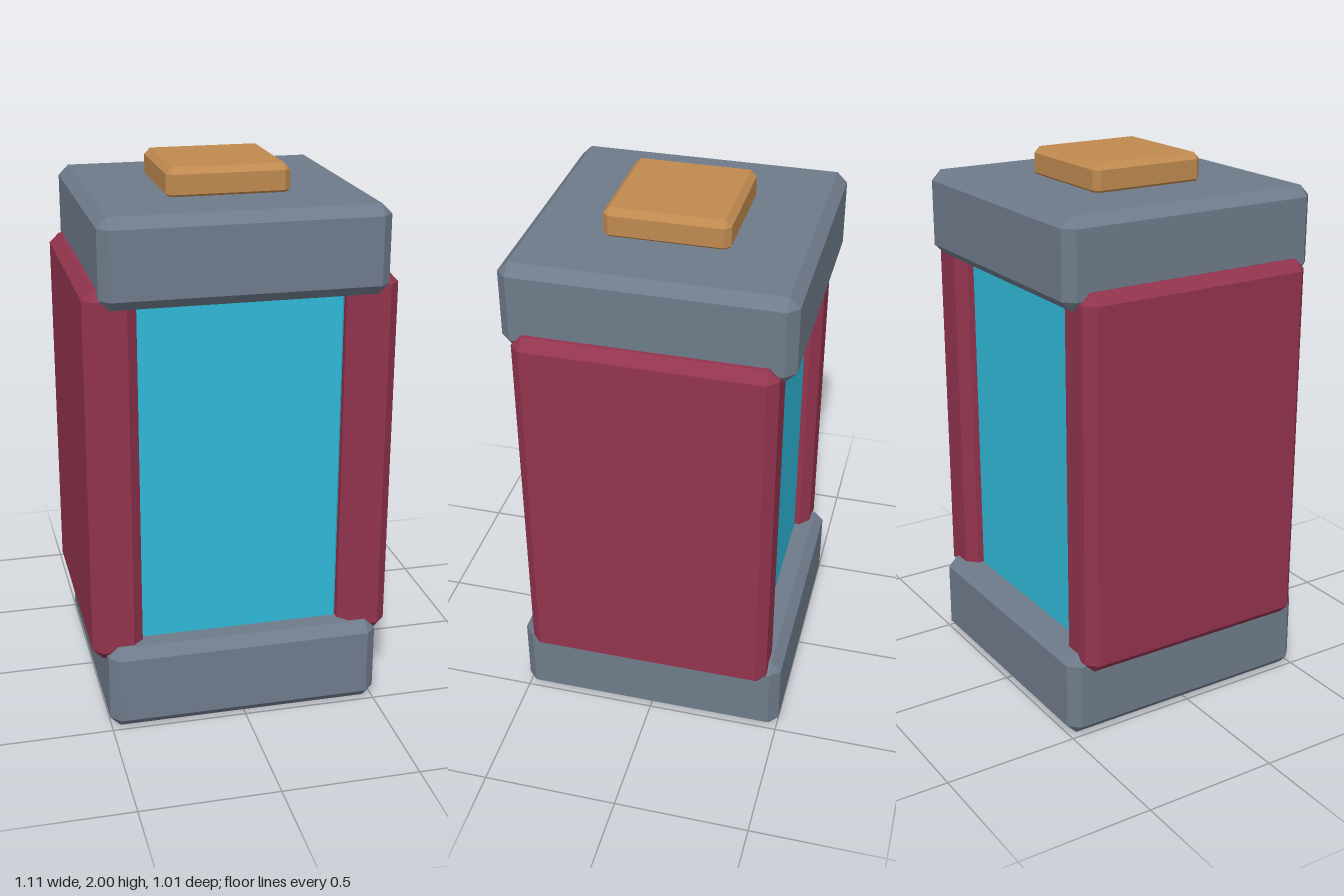
import * as THREE from 'three';
import { ConvexGeometry } from 'three/addons/geometries/ConvexGeometry.js';

// Box with every edge and corner cut flat by the bevel b
function chamferBox(w, h, d, b) {
  const half = [w / 2, h / 2, d / 2];
  const points = [];
  for (const sx of [-1, 1]) for (const sy of [-1, 1]) for (const sz of [-1, 1]) {
    const s = [sx, sy, sz];
    for (let axis = 0; axis < 3; axis++) {
      const p = half.map((v, i) => s[i] * (i === axis ? v : v - b));
      points.push(new THREE.Vector3(...p));
    }
  }
  return new ConvexGeometry(points);
}

export function createModel() {
  const model = new THREE.Group();
  model.name = 'powerCell';

  const material = (color) => new THREE.MeshStandardMaterial({ color, flatShading: true });
  const slate = material(0x6f7b8b);
  const crimson = material(0x93344e);
  const cyan = material(0x30bada);
  const copper = material(0xc08a50);

  // Adds a chamfered block spanning y0 to y1, centred on x and z = 0
  function block(name, mat, w, y0, y1, d, bevel, x = 0) {
    const mesh = new THREE.Mesh(chamferBox(w, y1 - y0, d, bevel), mat);
    mesh.name = name;
    mesh.position.set(x, (y0 + y1) / 2, 0);
    model.add(mesh);
  }

  // End caps
  block('baseCap', slate, 1.01, 0, 0.32, 1.01, 0.037);
  block('topCap', slate, 1.01, 1.585, 1.9, 1.01, 0.037);

  // Glowing core between the caps
  block('core', cyan, 0.8, 0.24, 1.67, 0.8, 0.037);

  // Side panels
  for (const side of [-1, 1]) {
    block(side > 0 ? 'leftPanel' : 'rightPanel', crimson, 0.185, 0.26, 1.65, 0.915, 0.037, side * 0.4625);
  }

  // Contact on top
  block('terminal', copper, 0.442, 1.886, 2, 0.442, 0.022);

  return model;
}
